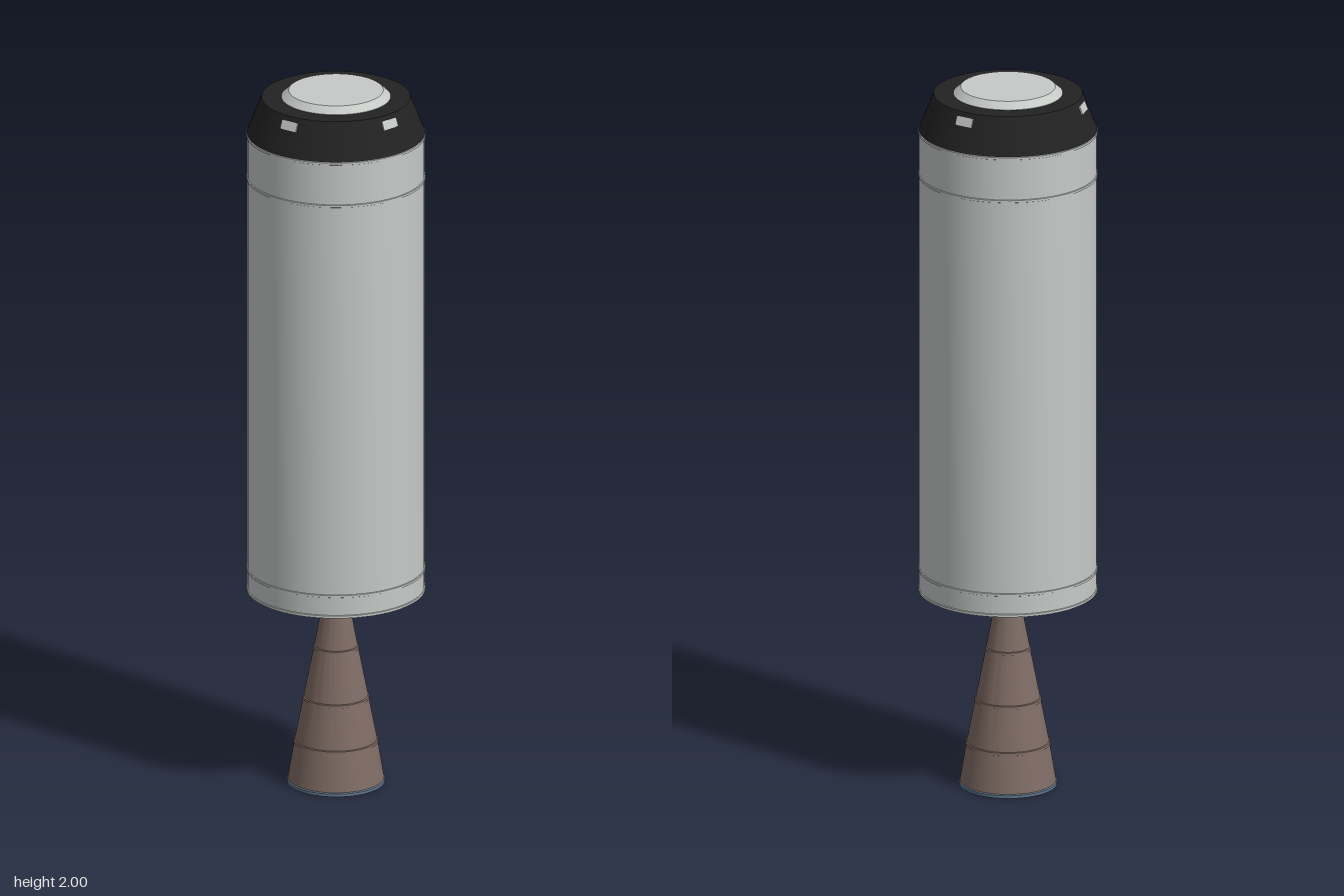
import * as THREE from 'three';
import { toCreasedNormals } from 'three/addons/utils/BufferGeometryUtils.js';

const SEG = 64;

function material(name, color) {
  const m = new THREE.MeshStandardMaterial({ color });
  m.name = name;
  return m;
}

// Revolve [radius, y] points, listed from bottom to top along the outside
function turned(name, points, mat) {
  const profile = points.map(([r, y]) => new THREE.Vector2(r, y));
  const geo = toCreasedNormals(new THREE.LatheGeometry(profile, SEG), 0.25);
  const mesh = new THREE.Mesh(geo, mat);
  mesh.name = name;
  return mesh;
}

export function createModel() {
  const hull = material('light grey hull', 0xc6cac7);
  const black = material('black collar', 0x222222);
  const brown = material('brown nozzle', 0x7f6c64);
  const blue = material('blue grey rim', 0x60768c);
  brown.side = THREE.DoubleSide;

  const model = new THREE.Group();
  model.name = 'rocketStage';

  // Main tank with closed ends
  model.add(turned('tank', [[0, 0.556], [0.242, 0.556], [0.242, 1.878], [0, 1.878]], hull));

  // Raised seams around the tank
  for (const y of [0.561, 0.62, 1.75, 1.873]) {
    model.add(turned('tankSeam', [
      [0.24, y - 0.005], [0.2445, y - 0.003], [0.2445, y + 0.003], [0.24, y + 0.005],
    ], hull));
  }

  // Tapered collar and the hatch on top
  model.add(turned('collar', [[0, 1.876], [0.243, 1.878], [0.203, 1.981], [0, 1.981]], black));
  model.add(turned('topHatch', [[0.149, 1.978], [0.149, 1.982], [0.129, 2], [0, 2]], hull));

  // Four small plates lying on the collar slope
  const tilt = -Math.atan2(0.04, 0.103);
  const plateAngles = [0, 1.405, Math.PI - 0.14, -1.383];
  for (const angle of plateAngles) {
    const pivot = new THREE.Group();
    pivot.name = 'collarPlate';
    pivot.rotation.y = angle;
    const plate = new THREE.Mesh(new THREE.BoxGeometry(0.053, 0.025, 0.008), hull);
    plate.name = 'plate';
    plate.position.set(0, 1.956, 0.2105);
    plate.rotation.x = tilt;
    pivot.add(plate);
    model.add(pivot);
  }

  // Open bell nozzle: outer wall, then the inner wall back down
  const bell = [[0.132, 0.006], [0.113, 0.12], [0.0885, 0.245], [0.06, 0.39], [0.039, 0.5], [0.034, 0.56]];
  model.add(turned('nozzleBell', bell, brown));
  const inner = bell.map(([r, y]) => [r - 0.005, y]).reverse();
  model.add(turned('nozzleLining', inner, brown));

  // Stiffening bands on the bell
  for (const [r, y] of bell.slice(1, 5)) {
    model.add(turned('nozzleBand', [
      [r - 0.002, y - 0.006], [r + 0.003, y - 0.004], [r + 0.002, y + 0.003], [r - 0.003, y + 0.006],
    ], brown));
  }

  // Exit lip
  model.add(turned('nozzleRim', [
    [0.127, 0.012], [0.127, 0], [0.134, 0], [0.134, 0.008], [0.13, 0.012],
  ], blue));

  return model;
}
